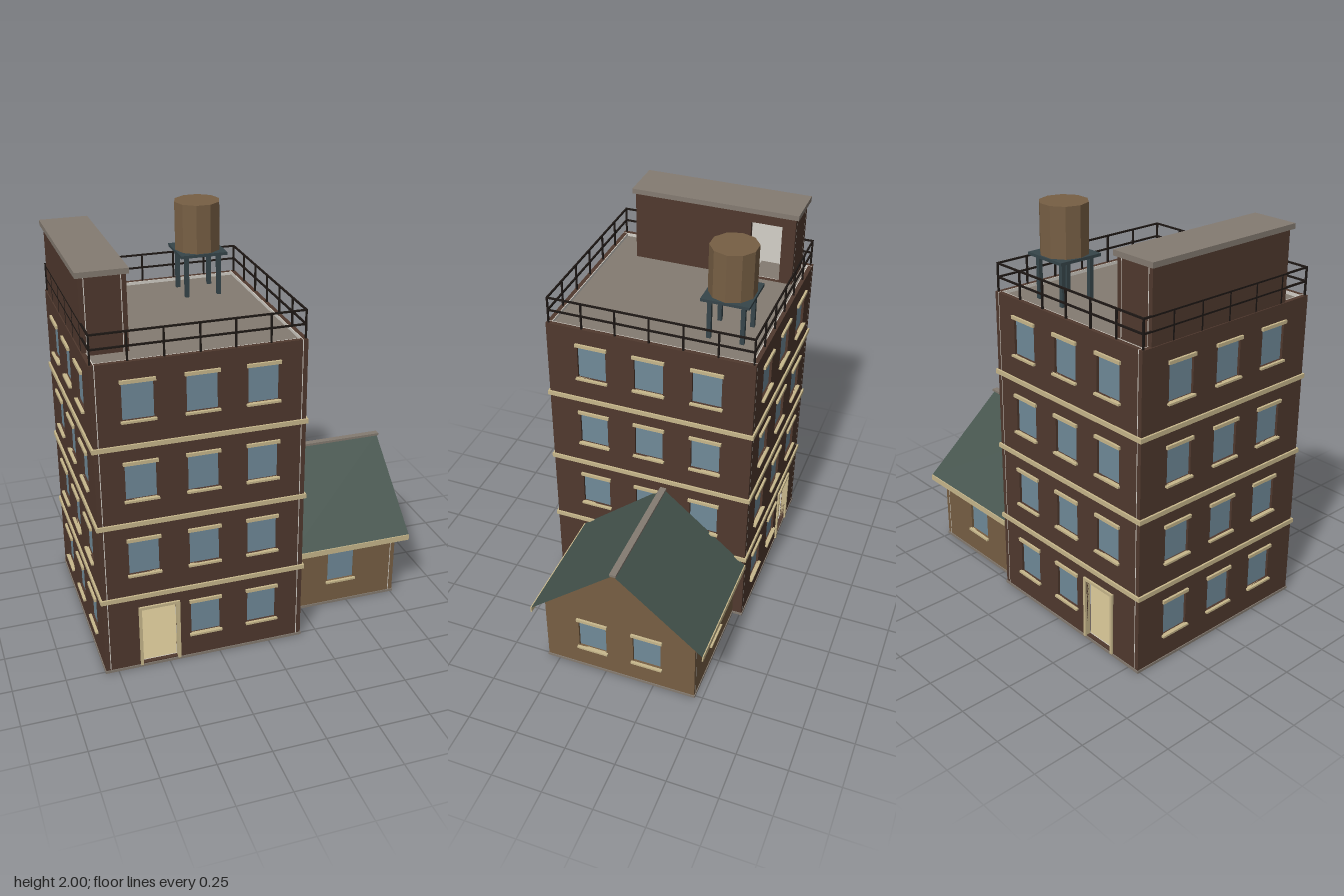
import * as THREE from 'three';

const mat = (name, color, side = THREE.FrontSide) => {
  const m = new THREE.MeshStandardMaterial({ color, side });
  m.name = name;
  return m;
};

export function createModel() {
  const brick = mat('brick', 0x50392e);
  const timber = mat('timber', 0x775f44);
  const trim = mat('trim', 0xc8b88c);
  const glass = mat('glass', 0x708a99);
  const roofing = mat('roofing', 0x45544d, THREE.DoubleSide);
  const concrete = mat('concrete', 0x847b71);
  const iron = mat('iron', 0x1e1815);
  const steel = mat('steel', 0x36454a);
  const plaster = mat('plaster', 0xd4d0c8);

  const model = new THREE.Group();
  model.name = 'building';
  const T = 0.025; // wall thickness
  const PITCH = 0.387; // storey height

  const group = (name, parent = model) => {
    const g = new THREE.Group();
    g.name = name;
    parent.add(g);
    return g;
  };
  const add = (parent, name, geo, m, x = 0, y = 0, z = 0) => {
    const mesh = new THREE.Mesh(geo, m);
    mesh.name = name;
    mesh.position.set(x, y, z);
    parent.add(mesh);
    return mesh;
  };
  // Box given by its lower and upper corners
  const box = (parent, name, m, x0, x1, y0, y1, z0, z1) =>
    add(parent, name, new THREE.BoxGeometry(x1 - x0, y1 - y0, z1 - z0), m,
      (x0 + x1) / 2, (y0 + y1) / 2, (z0 + z1) / 2);
  const rect = (Type, x0, x1, y0, y1) => new Type([
    [x0, y0], [x1, y0], [x1, y1], [x0, y1]].map(p => new THREE.Vector2(...p)));

  // Openings: x is the centre measured along the wall
  const win = (x, floor = 0) =>
    ({ kind: 'window', x, w: 0.143, y0: 0.135 + floor * PITCH, y1: 0.308 + floor * PITCH });
  const door = x => ({ kind: 'door', x, w: 0.17, y0: 0.018, y1: 0.322 });

  // One wall: outer face at z = 0, outer layer plus plaster lining, with trimmed openings
  function wall(parent, name, width, y0, y1, openings, m, apex) {
    const g = group(name, parent);
    const shape = rect(THREE.Shape, -width / 2, width / 2, y0, y1);
    if (apex) {
      shape.curves = [];
      shape.setFromPoints([[-width / 2, y0], [width / 2, y0], [width / 2, y1], [0, apex], [-width / 2, y1]]
        .map(p => new THREE.Vector2(...p)));
    }
    for (const o of openings) {
      const l = o.x - o.w / 2, r = o.x + o.w / 2;
      shape.holes.push(rect(THREE.Path, l, r, o.y0, o.y1));
      if (o.kind === 'window') {
        box(g, 'windowPane', glass, l, r, o.y0, o.y1, -0.018, -0.012);
        box(g, 'lintel', trim, l - 0.008, r + 0.008, o.y1, o.y1 + 0.016, -0.006, 0.011);
        box(g, 'sill', trim, l - 0.008, r + 0.008, o.y0 - 0.01, o.y0, -0.006, 0.014);
      } else if (o.kind === 'door') {
        for (const x of [l - 0.014, r]) box(g, 'doorJamb', trim, x, x + 0.014, 0.013, o.y1, -0.02, 0.01);
        box(g, 'doorHead', trim, l - 0.014, r + 0.014, o.y1, o.y1 + 0.014, -0.02, 0.01);
      }
    }
    const layer = (part, depth, z, mm) => add(g, part,
      new THREE.ExtrudeGeometry(shape, { depth, bevelEnabled: false }), mm, 0, 0, z);
    layer('wallFace', T - 0.004, 0.004 - T, m);
    layer('wallLining', 0.004, -T, plaster);
    return g;
  }

  // Four walls around a rectangular plan; a missing face is left open
  function walls(name, cx, cz, w, d, y0, y1, m, faces, apex) {
    const g = group(name);
    g.position.set(cx, 0, cz);
    ['front', 'right', 'back', 'left'].forEach((side, i) => {
      if (!faces[side]) return;
      const flank = i % 2;
      const wl = wall(g, side + 'Wall', flank ? d : w - 2 * T, y0, y1, faces[side], m, flank ? apex : 0);
      const a = i * Math.PI / 2;
      const dist = flank ? w / 2 : d / 2;
      wl.rotation.y = a;
      wl.position.set(Math.sin(a) * dist, 0, Math.cos(a) * dist);
    });
    return g;
  }

  // Tower
  const X0 = -0.81, X1 = 0.165, Z = 0.51, TOP = 1.565, CX = (X0 + X1) / 2;
  const rows = (floors, xs) => floors.flatMap(f => xs.map(x => win(x, f)));
  const cols = [-0.283, 0.003, 0.283];
  walls('tower', CX, 0, X1 - X0, 2 * Z, 0.01, TOP, brick, {
    front: [door(-0.222), win(0.003), win(0.283), ...rows([1, 2, 3], cols)],
    back: [door(0.222), win(-0.003), win(-0.283), ...rows([1, 2, 3], cols)],
    right: rows([1, 2, 3], [-0.285, 0, 0.285]),
    left: rows([0, 1, 2, 3], [-0.285, 0, 0.285]),
  });
  box(model, 'towerFoundation', concrete, X0 - 0.004, X1 + 0.004, 0, 0.013, -Z - 0.004, Z + 0.004);
  box(model, 'groundFloor', trim, X0 + T, X1 - T, 0.013, 0.018, -Z + T, Z - T);

  // Belt courses
  for (let i = 1; i <= 3; i++) {
    const ring = rect(THREE.Shape, X0 - 0.009, X1 + 0.009, -Z - 0.009, Z + 0.009);
    ring.holes.push(rect(THREE.Path, X0 + 0.01, X1 - 0.01, -Z + 0.01, Z - 0.01));
    const geo = new THREE.ExtrudeGeometry(ring, { depth: 0.022, bevelEnabled: false }).rotateX(-Math.PI / 2);
    add(model, 'beltCourse', geo, trim, 0, 0.386 + (i - 1) * PITCH, 0);
  }

  // Floor slabs with an open stairwell, and the stair flights
  for (let i = 0; i < 4; i++) {
    const top = i === 3 ? 1.55 : 0.4 + i * PITCH;
    const name = i === 3 ? 'roofDeck' : 'floorSlab';
    box(model, name, concrete, -0.625, X1 - T, top - 0.02, top, -Z + T, Z - T);
    box(model, name, concrete, X0 + T, -0.625, top - 0.02, top, -Z + T, -0.25);
    box(model, name, concrete, X0 + T, -0.625, top - 0.02, top, 0.33, Z - T);
    const flight = group('stairFlight');
    const base = i ? 0.4 + (i - 1) * PITCH : 0.018;
    for (let s = 0; s < 10; s++) {
      const y = base + (s + 1) * (top - base) / 11, z = 0.3 - s * 0.055;
      box(flight, 'stairTread', trim, X0 + T, -0.635, y - 0.018, y, z - 0.055, z);
    }
  }

  // Roof railing
  const railing = group('railing');
  const rx0 = X0 + 0.008, rx1 = X1 - 0.008, rz = Z - 0.012, h = 0.004;
  for (const y of [1.632, 1.697]) {
    for (const z of [-rz, rz]) box(railing, 'rail', iron, rx0 - h, rx1 + h, y - h, y + h, z - h, z + h);
    for (const x of [rx0, rx1]) box(railing, 'rail', iron, x - h, x + h, y - h, y + h, -rz + h, rz - h);
  }
  const post = (x, z) => box(railing, 'railPost', iron, x - h, x + h, TOP - 0.005, 1.695, z - h, z + h);
  for (let i = 0; i <= 6; i++) {
    const x = rx0 + (rx1 - rx0) * i / 6, z = -rz + 2 * rz * i / 6;
    post(x, -rz);
    post(x, rz);
    if (i > 0 && i < 6) {
      post(rx0, z);
      post(rx1, z);
    }
  }

  // Stair house on the roof
  walls('stairHouse', -0.7025, -0.0475, 0.205, 0.815, 1.545, 1.9, brick, {
    front: [], back: [], left: [],
    right: [{ kind: 'opening', x: 0.265, w: 0.155, y0: 1.551, y1: 1.85 }],
  });
  box(model, 'stairHouseRoof', concrete, -0.82, -0.59, 1.9, 1.925, -0.47, 0.375);

  // Water tank on its stand
  const tank = group('waterTank');
  tank.position.set(-0.09, 0, -0.31);
  for (const x of [-0.08, 0.08]) for (const z of [-0.08, 0.08])
    box(tank, 'tankLeg', steel, x - 0.01, x + 0.01, 1.55, 1.755, z - 0.01, z + 0.01);
  box(tank, 'tankPlatform', steel, -0.115, 0.115, 1.752, 1.766, -0.115, 0.115);
  const drum = new THREE.CylinderGeometry(0.112, 0.112, 0.234, 10).rotateY(Math.PI / 10).toNonIndexed();
  drum.computeVertexNormals();
  add(tank, 'tankDrum', drum, timber, 0, 1.883, 0);

  // Annex
  const AZ = -0.075;
  walls('annex', 0.45, AZ, 0.62, 0.77, 0.01, 0.4, timber, {
    front: [win(0.012)], back: [win(-0.012)], right: [win(-0.141), win(0.141)],
  }, 0.725);
  box(model, 'annexFoundation', concrete, X1 + 0.004, 0.764, 0, 0.013, AZ - 0.389, AZ + 0.389);

  // Annex roof: two mirrored slopes with eave boards, and a ridge cap
  const run = 0.437, drop = 0.369, len = 0.645;
  for (const turn of [0, Math.PI]) {
    const half = group('annexRoofHalf');
    half.position.set(X1 + len / 2, 0, AZ);
    half.rotation.y = turn;
    const slope = new THREE.PlaneGeometry(len, Math.hypot(run, drop)).rotateX(-Math.atan2(run, drop));
    add(half, 'roofSlope', slope, roofing, 0, 0.73 - drop / 2, run / 2);
    box(half, 'eaveBoard', trim, -len / 2, len / 2, 0.333, 0.362, run - 0.003, run + 0.004);
  }
  box(model, 'ridgeCap', concrete, X1, 0.815, 0.727, 0.739, AZ - 0.016, AZ + 0.016);

  return model;
}
